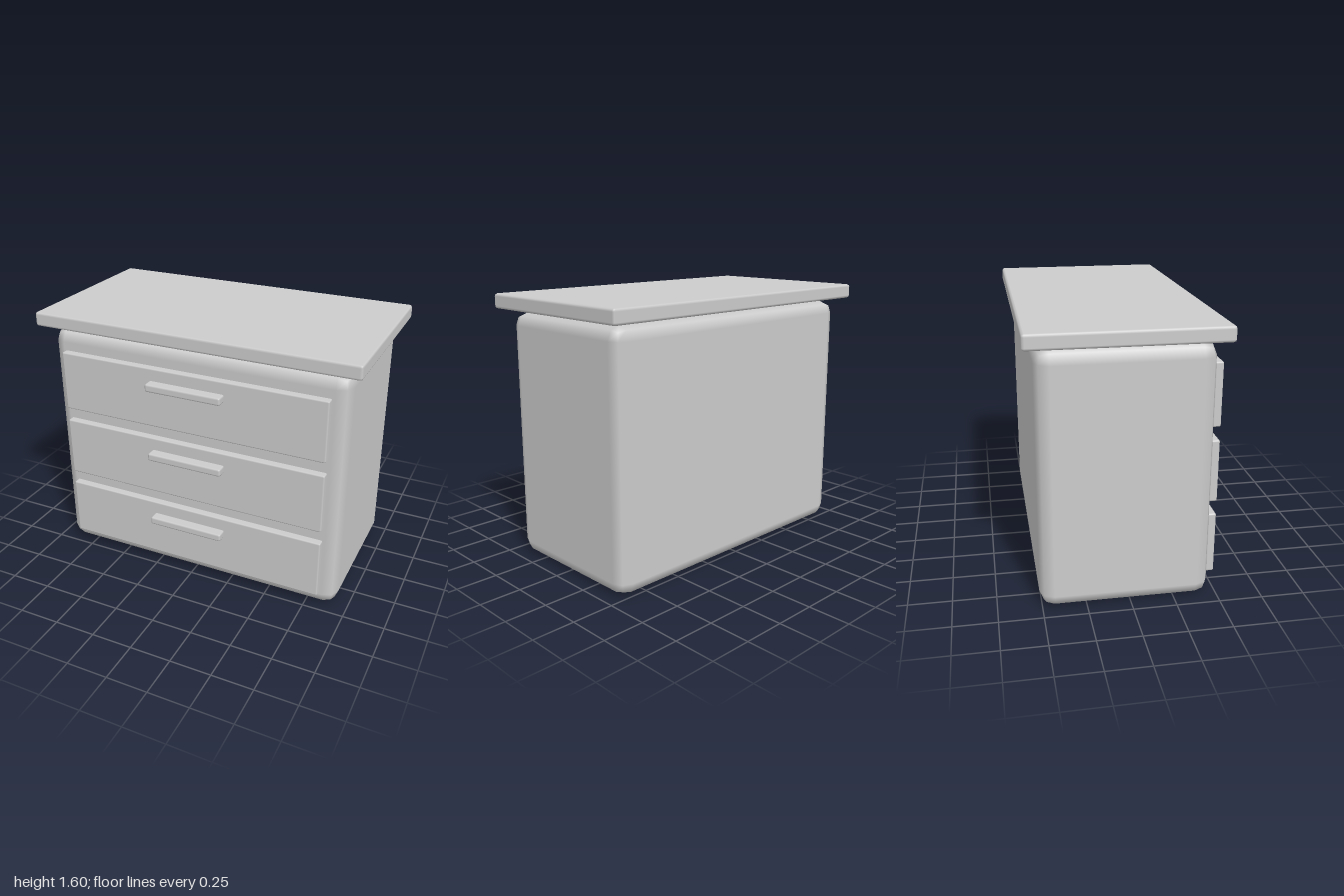
import * as THREE from 'three';
import { RoundedBoxGeometry } from 'three/addons/geometries/RoundedBoxGeometry.js';

export function createModel() {
  const chest = new THREE.Group();
  chest.name = 'chestOfDrawers';
  const paint = new THREE.MeshStandardMaterial({ color: 0xcccccc });
  paint.name = 'light grey';

  // Bevelled block given by its size, bevel radius and centre
  function block(name, [w, h, d], radius, [x, y, z], parent = chest) {
    const mesh = new THREE.Mesh(new RoundedBoxGeometry(w, h, d, 1, radius), paint);
    mesh.name = name;
    mesh.position.set(x, y, z);
    parent.add(mesh);
    return mesh;
  }

  // Softly rounded cabinet, with the overhanging top floating just above it
  block('cabinet', [1.864, 1.493, 0.969], 0.08, [0, 0.7465, -0.0275]);
  block('tabletop', [2, 0.087, 1.088], 0.016, [0, 1.553, -0.029]);

  // Three drawers, each a front panel with a bar handle near its upper edge
  for (let i = 0; i < 3; i++) {
    const drawer = new THREE.Group();
    drawer.name = ['bottomDrawer', 'middleDrawer', 'topDrawer'][i];
    drawer.position.y = 0.285 + i * 0.448;
    chest.add(drawer);
    block('drawerFront', [1.674, 0.37, 0.05], 0.01, [0, 0, 0.482], drawer);
    block('handle', [0.474, 0.05, 0.068], 0.013, [0, 0.09, 0.541], drawer);
  }
  return chest;
}
